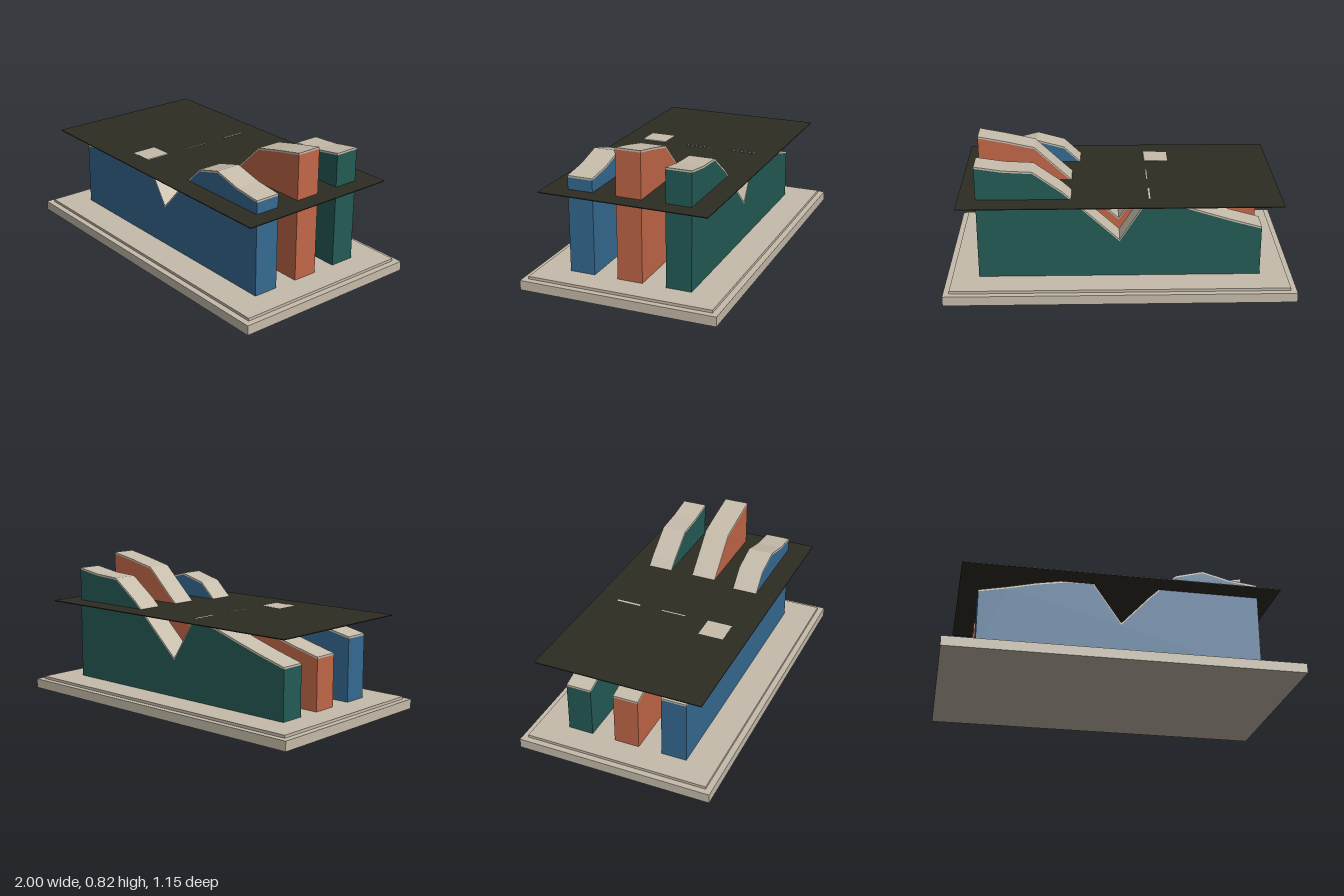
import * as THREE from 'three';

const mat = (name, color) => {
  const m = new THREE.MeshStandardMaterial({ color });
  m.name = name;
  return m;
};

export function createModel() {
  const model = new THREE.Group();
  const stone = mat('warm stone', 0xc6bcab);
  const dark = mat('dark olive', 0x2d2c23);

  const add = (parent, name, geometry, material, x = 0, y = 0, z = 0) => {
    const mesh = new THREE.Mesh(geometry, material);
    mesh.name = name;
    mesh.position.set(x, y, z);
    parent.add(mesh);
  };

  // Stepped base
  add(model, 'basePlinth', new THREE.BoxGeometry(2, 0.056, 1.15), stone, 0, 0.028);
  add(model, 'baseStep', new THREE.BoxGeometry(1.93, 0.016, 1.08), stone, 0, 0.064);

  // Thin horizontal threshold sheet
  add(model, 'thresholdSheet', new THREE.BoxGeometry(1.825, 0.005, 0.98), dark, 0, 0.55);

  // Three profile walls, each with a thin pale cap following its top
  const floor = 0.072, depth = 0.148, capHeight = 0.011, half = 0.81;
  const extrude = (points) => new THREE.ExtrudeGeometry(
    new THREE.Shape(points), { depth, bevelEnabled: false });

  const series = [
    { name: 'front', z: 0.287, material: mat('blue', 0x356a92),
      heights: [0.45, 0.484, 0.523, 0.552, 0.556, 0.316, 0.492, 0.648, 0.692, 0.65, 0.631] },
    { name: 'middle', z: 0, material: mat('terracotta', 0xc26748),
      heights: [0.38, 0.42, 0.465, 0.515, 0.554, 0.305, 0.45, 0.6, 0.755, 0.792, 0.824] },
    { name: 'back', z: -0.287, material: mat('deep green', 0x245b56),
      heights: [0.37, 0.415, 0.465, 0.517, 0.555, 0.3, 0.45, 0.6, 0.718, 0.727, 0.752] },
  ];

  for (const { name, z, material, heights } of series) {
    const group = new THREE.Group();
    group.name = name + 'Profile';
    const step = (2 * half) / (heights.length - 1);
    const top = heights.map((h, i) => new THREE.Vector2(-half + i * step, h));
    const under = top.map((p) => new THREE.Vector2(p.x, p.y - capHeight)).reverse();
    const wall = [new THREE.Vector2(-half, floor), new THREE.Vector2(half, floor), ...under];
    add(group, name + 'Wall', extrude(wall), material, 0, 0, z - depth / 2);
    add(group, name + 'Cap', extrude([...under.slice().reverse(), ...top.slice().reverse()]),
      stone, 0, 0, z - depth / 2);
    model.add(group);
  }
  return model;
}
